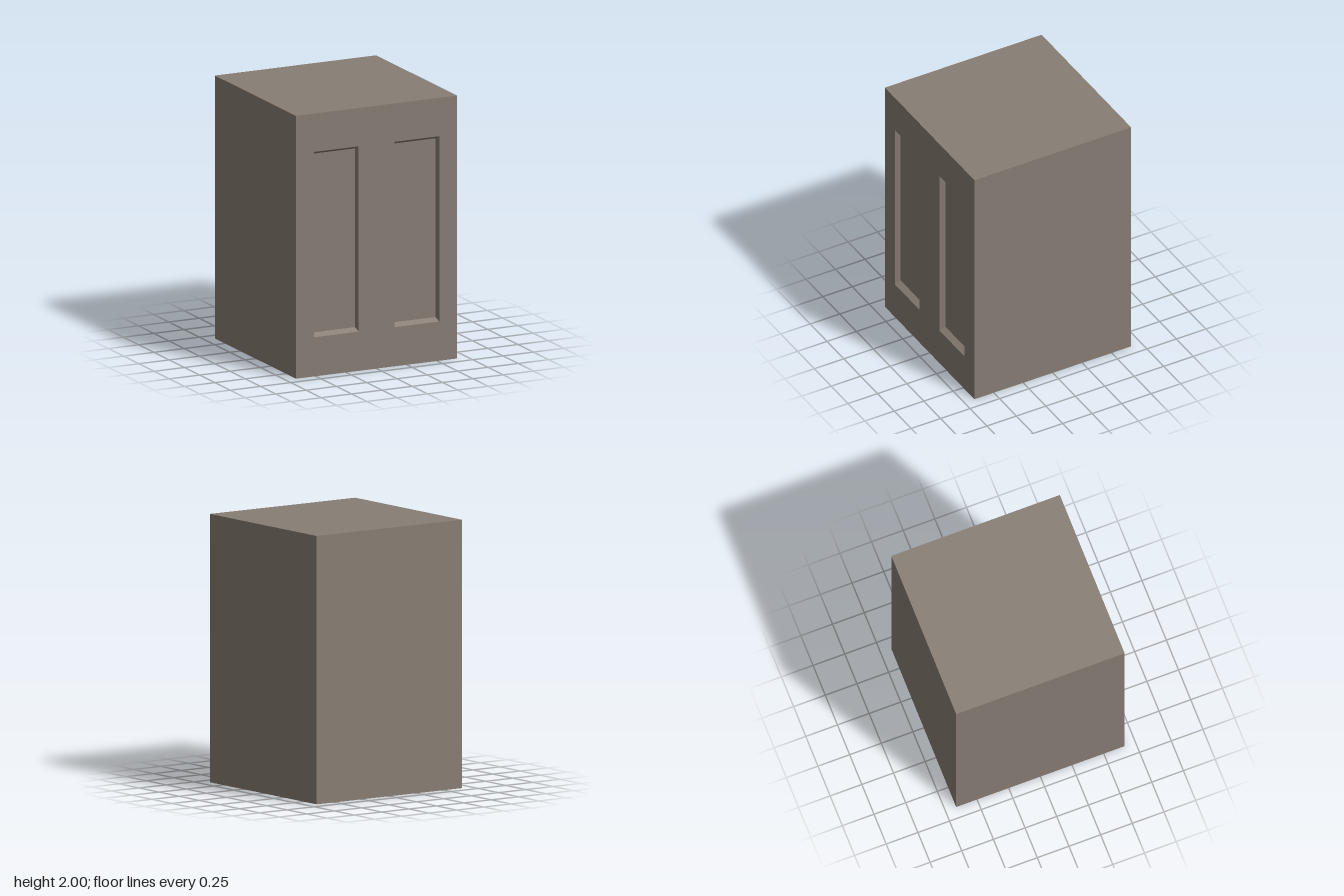
import * as THREE from 'three';

const W = 1.33, H = 2, FRONT = W / 2;
const DEPTH = 0.045;                 // how far the panels are sunk
const INSET_X = 0.008, INSET_Y = 0.025; // slope of the recess walls
const PANEL = { x: 0.332, y: 1.003, w: 0.37, h: 1.41 };

// Corners of a rectangle, counter-clockwise seen from the front
function rect(cx, cy, w, h) {
  return [[-1, -1], [1, -1], [1, 1], [-1, 1]].map(
    ([sx, sy]) => new THREE.Vector2(cx + sx * w / 2, cy + sy * h / 2));
}

// Sunken tray: four sloped walls and a flat floor
function recessGeometry(cx) {
  const rim = rect(cx, PANEL.y, PANEL.w, PANEL.h)
    .map(p => new THREE.Vector3(p.x, p.y, FRONT));
  const floor = rect(cx, PANEL.y, PANEL.w - 2 * INSET_X, PANEL.h - 2 * INSET_Y)
    .map(p => new THREE.Vector3(p.x, p.y, FRONT - DEPTH));
  const points = [];
  const quad = (a, b, c, d) => points.push(a, b, c, a, c, d);
  for (let i = 0; i < 4; i++) {
    const j = (i + 1) % 4;
    quad(rim[i], rim[j], floor[j], floor[i]);
  }
  quad(...floor);
  const geometry = new THREE.BufferGeometry().setFromPoints(points);
  geometry.computeVertexNormals();
  return geometry;
}

export function createModel() {
  const model = new THREE.Group();
  model.name = 'panelledCabinet';
  const material = new THREE.MeshStandardMaterial({ color: 0x877d73 });
  const add = (name, geometry) => {
    const mesh = new THREE.Mesh(geometry, material);
    mesh.name = name;
    model.add(mesh);
  };

  // Cabinet body: a box without its front side
  const body = new THREE.BoxGeometry(W, H, W).translate(0, H / 2, 0);
  const index = Array.from(body.index.array);
  index.splice(24, 6);
  body.setIndex(index);
  body.clearGroups();
  add('body', body);

  // Front face with two panel openings
  const face = new THREE.Shape(rect(0, H / 2, W, H));
  for (const side of [-1, 1]) {
    face.holes.push(new THREE.Path(rect(side * PANEL.x, PANEL.y, PANEL.w, PANEL.h).reverse()));
  }
  add('frontFace', new THREE.ShapeGeometry(face).translate(0, 0, FRONT));

  // Recessed panels
  add('leftPanel', recessGeometry(PANEL.x));
  add('rightPanel', recessGeometry(-PANEL.x));

  return model;
}
